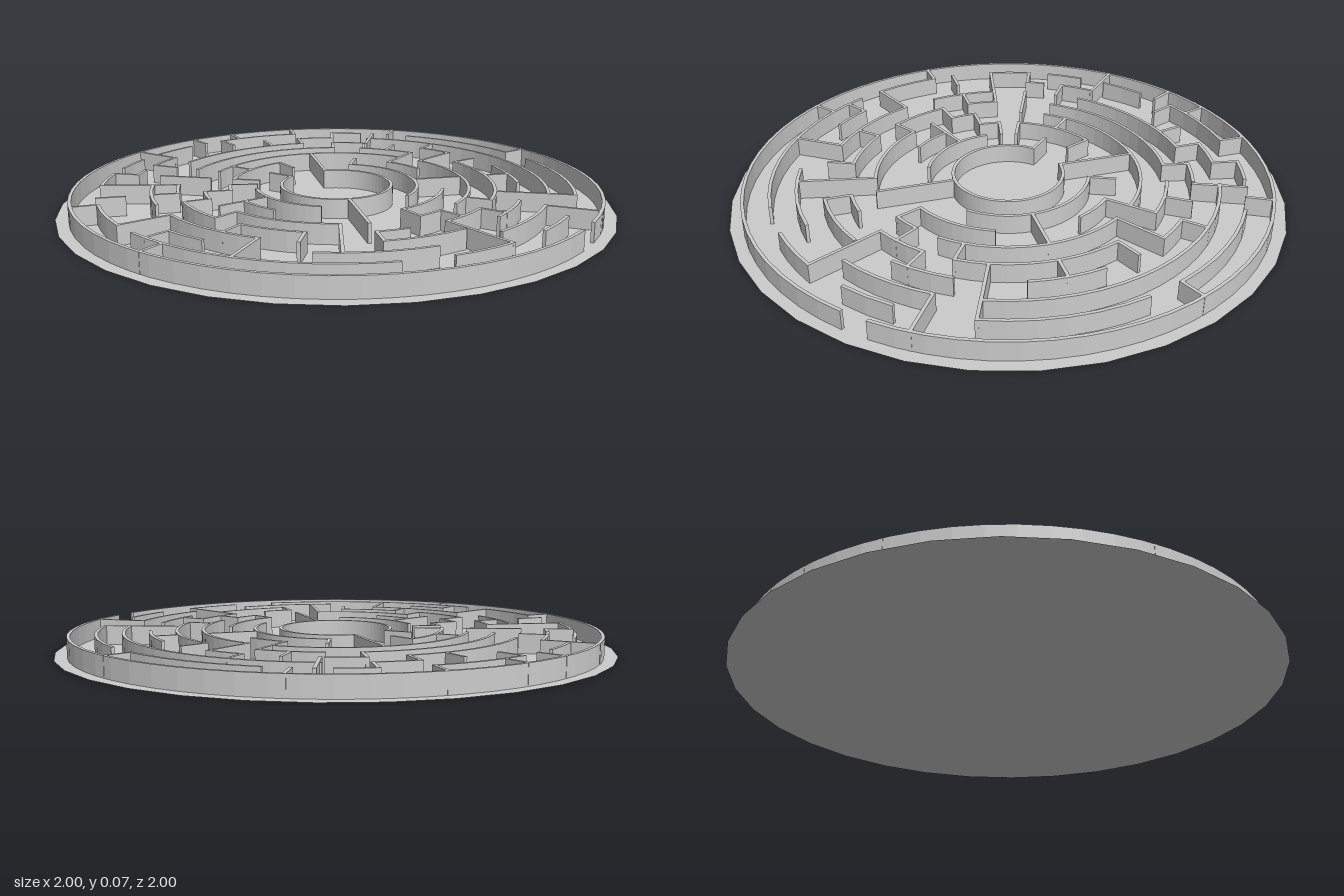
import * as THREE from 'three';
import { mergeGeometries } from 'three/addons/utils/BufferGeometryUtils.js';

const HEIGHT = 0.07, THICK = 0.012;
const ringRadius = (i) => 0.2 + i * 0.0935;
const rad = THREE.MathUtils.degToRad;

// Curved walls per ring, inside to outside: [start, end] in degrees from +x towards +z
const ringArcs = [
  [[-135, 180]],
  [[247.5, 360], [67.5, 135]],
  [[270, 292.5], [157.5, 202.5], [337.5, 382.5], [90, 112.5], [135, 146.25]],
  [[168.75, 270], [123.75, 135], [56.25, 101.25], [281.25, 360], [11.25, 22.5]],
  [[101.25, 123.75], [292.5, 348.75], [168.75, 236.25], [135, 146.25],
    [67.5, 90], [0, 19], [33.75, 45], [247.5, 270]],
  [[270, 281.25], [303.75, 326.25], [236.25, 247.5], [225, 213.75], [177, 213.75],
    [123.75, 146.25], [78.75, 112.5], [346, 365], [20, 45]],
  [[247.5, 337.5], [225, 236.25], [168.75, 178.5], [157.5, 163], [90, 101.25],
    [33.75, 63], [348.75, 375]],
  [[236.25, 245], [213.75, 225], [202.5, 213.75], [180, 192], [163, 173], [146.25, 157.5],
    [112.5, 129.4], [45, 106], [19, 33.75], [355, 368], [301, 337.5], [258.75, 292.5]],
  [[2.8, 357.2]],
];

// Straight walls by the ring they start from: [angle, outer ring]
const spokes = [
  [[180, 1], [225, 3], [45, 3]],
  [[248.5, 2], [112.5, 3], [315, 3], [202.5, 2], [157.5, 2], [146.25, 2]],
  [[270, 4], [180, 3], [22.5, 3], [135, 3]],
  [[157.5, 5], [123.75, 4], [101.25, 4], [56.25, 6], [281.25, 5], [348.75, 4], [11.25, 4]],
  [[337.5, 7], [292.5, 5], [315, 5], [236.25, 5], [146.25, 6], [135, 5], [90, 5],
    [67.5, 5], [0, 5], [19, 7], [45, 5], [258.75, 5]],
  [[270, 6], [248.5, 7], [225, 6], [213.75, 6], [168.75, 6], [112.5, 7], [78.75, 7]],
  [[236.25, 7], [202.5, 7], [157.5, 7], [146.25, 7], [135, 7], [101.25, 7],
    [348.75, 8], [179, 8]],
  [[225, 8], [208.1, 8], [196.9, 8], [253.1, 8], [292.5, 8], [129.4, 8], [95.6, 8]],
];

// A box bent along a circle
function arcWall(radius, from, to) {
  const start = rad(Math.min(from, to)), sweep = rad(Math.abs(to - from));
  const segments = Math.max(2, Math.round(sweep / rad(5.625)));
  const geo = new THREE.BoxGeometry(1, HEIGHT, THICK, segments, 1, 1);
  const p = geo.attributes.position;
  for (let i = 0; i < p.count; i++) {
    const a = start + (p.getX(i) + 0.5) * sweep;
    const r = radius - p.getZ(i);
    p.setXYZ(i, r * Math.cos(a), p.getY(i) + HEIGHT / 2, r * Math.sin(a));
  }
  geo.computeVertexNormals();
  return geo;
}

function spokeWall(inner, outer, angle) {
  const geo = new THREE.BoxGeometry(outer - inner + THICK, HEIGHT, THICK);
  geo.translate((inner + outer) / 2, HEIGHT / 2, 0);
  return geo.rotateY(-rad(angle));
}

export function createModel() {
  const group = new THREE.Group();
  const add = (name, geo, material) => {
    const mesh = new THREE.Mesh(geo, material);
    mesh.name = name;
    group.add(mesh);
  };

  // Thin floor disc with 32 sides
  const floorMaterial = new THREE.MeshStandardMaterial({ color: 0xcccccc, side: THREE.DoubleSide });
  add('floor', new THREE.CircleGeometry(1, 32).rotateX(-Math.PI / 2), floorMaterial);

  // Concentric walls; the outermost one has the entrance gap
  const wallMaterial = new THREE.MeshStandardMaterial({ color: 0xcccccc, flatShading: true });
  ringArcs.forEach((arcs, i) => {
    const name = i === ringArcs.length - 1 ? 'outerWall' : `ringWall${i + 1}`;
    add(name, mergeGeometries(arcs.map(([a, b]) => arcWall(ringRadius(i), a, b))), wallMaterial);
  });

  // Radial walls joining the rings
  spokes.forEach((list, i) => {
    const walls = list.map(([angle, end]) => spokeWall(ringRadius(i), ringRadius(end), angle));
    add(`radialWalls${i + 1}`, mergeGeometries(walls), wallMaterial);
  });

  return group;
}
